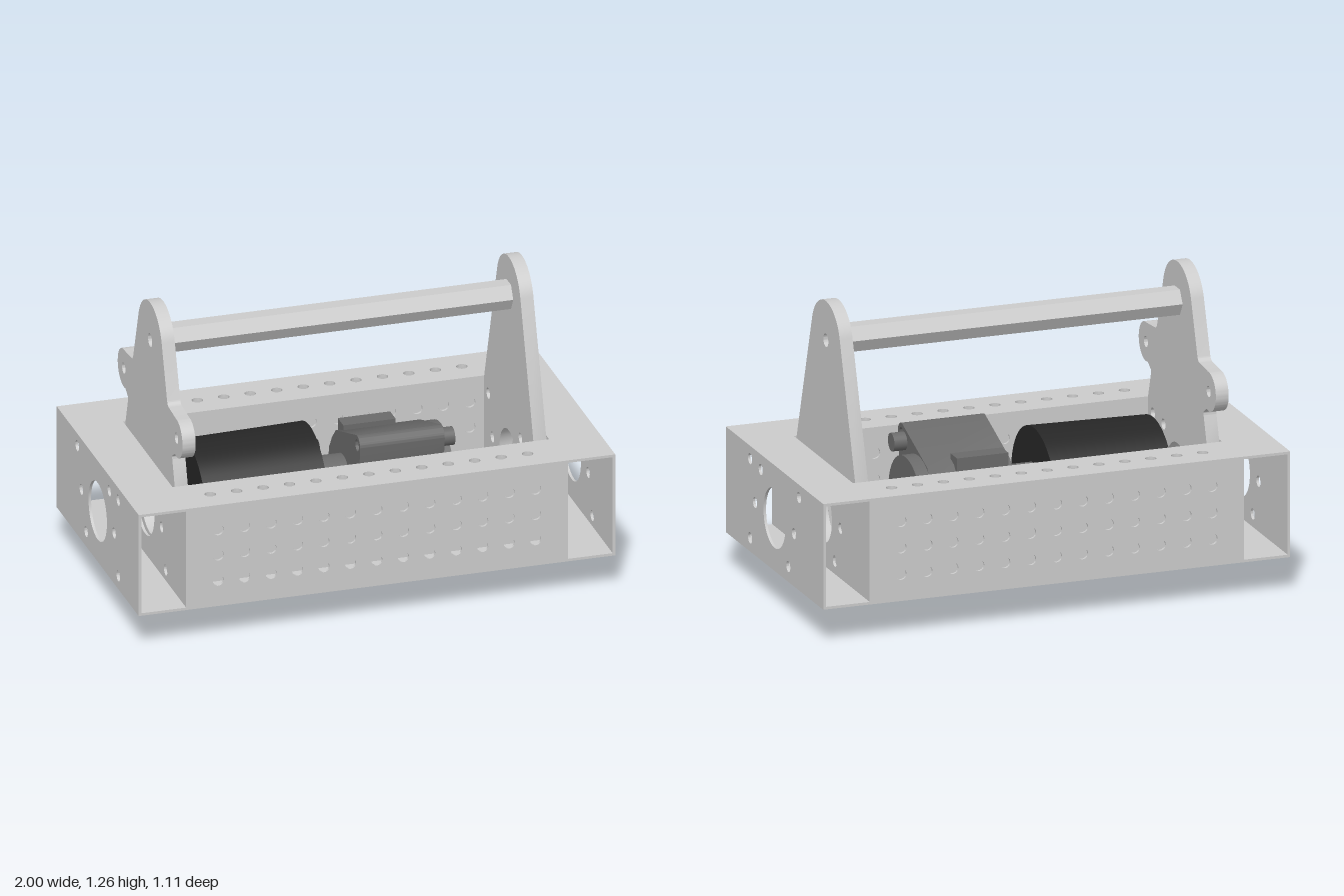
import * as THREE from 'three';
import { toCreasedNormals } from 'three/addons/utils/BufferGeometryUtils.js';

const mat = (color) => new THREE.MeshStandardMaterial({ color });
const GREY = mat(0xcccccc), DARK = mat(0x6a6a6a), BLACK = mat(0x262626), RED = mat(0xcc1111);
const WALL = 0.011, Y0 = 0.15, Y1 = 0.594, YC = 0.372, HOLE = 0.023;

function add(parent, name, geometry, material, x = 0, y = 0, z = 0) {
  const mesh = new THREE.Mesh(geometry, material);
  mesh.name = name;
  mesh.position.set(x, y, z);
  parent.add(mesh);
  return mesh;
}

// Extrude a shape along +z after cutting round holes given as [x, y, radius]
function sheet(shape, depth, holes = []) {
  for (const [x, y, r] of holes) {
    shape.holes.push(new THREE.Path().absarc(x, y, r, 0, Math.PI * 2, true));
  }
  const g = new THREE.ExtrudeGeometry(shape, { depth, bevelEnabled: false, curveSegments: 20 });
  return toCreasedNormals(g, 0.6);
}

function rect(x0, y0, x1, y1) {
  return new THREE.Shape([[x0, y0], [x1, y0], [x1, y1], [x0, y1]].map((p) => new THREE.Vector2(...p)));
}

// Cylinder along z, from z0 to z1
function rod(r0, r1, z0, z1, sides = 48) {
  return new THREE.CylinderGeometry(r1, r0, z1 - z0, sides).rotateX(Math.PI / 2).translate(0, 0, (z0 + z1) / 2);
}

const endHoles = [
  [0, YC, 0.125], [-0.278, 0.54, HOLE], [0.278, 0.54, HOLE], [-0.278, 0.207, HOLE],
  [-0.222, YC, HOLE], [0.222, YC, HOLE], [-0.157, 0.53, HOLE], [0.157, 0.215, HOLE],
];

// Upright side plate; the eared one has a lug on both edges
function uprightShape(ears) {
  const s = new THREE.Shape();
  s.moveTo(-0.333, Y0 + WALL);
  s.lineTo(0.333, Y0 + WALL);
  s.lineTo(0.333, 0.594);
  if (ears) {
    s.lineTo(0.3, 0.7);
    s.quadraticCurveTo(0.294, 0.717, 0.312, 0.724);
    s.lineTo(0.335, 0.739);
    s.absarc(0.357, 0.818, 0.082, -1.84, 1.65, false);
    s.lineTo(0.252, 0.908);
    s.quadraticCurveTo(0.236, 0.909, 0.229, 0.928);
  }
  s.absarc(0, 1.095, 0.165, 0.3, Math.PI - 0.3, false);
  if (ears) {
    s.lineTo(-0.229, 0.928);
    s.quadraticCurveTo(-0.236, 0.909, -0.252, 0.908);
    s.absarc(-0.357, 0.818, 0.082, Math.PI - 1.65, Math.PI + 1.84, false);
    s.lineTo(-0.312, 0.724);
    s.quadraticCurveTo(-0.294, 0.717, -0.3, 0.7);
  }
  s.lineTo(-0.333, 0.594);
  return s;
}

// Rectangular tubes: two open ones across the ends, two drilled ones along the sides
function buildFrame(root, across) {
  const rowX = Array.from({ length: 13 }, (_, i) => (i - 6) * 0.111);
  const sideHoles = rowX.flatMap((x) => [0.262, 0.373, 0.484].map((y) => [x, y, HOLE]));
  const topHoles = rowX.map((x) => [x, 0, HOLE]);

  for (const side of [-1, 1]) {
    for (const d of [1 - WALL / 2, 0.79 + WALL / 2]) {
      add(across, 'endTubeWall', sheet(rect(-0.555, Y0, 0.555, Y1), WALL, endHoles), GREY, 0, 0, side * d - WALL / 2);
    }
    for (const y of [Y0 + WALL / 2, Y1 - WALL / 2]) {
      add(root, 'endTubeFlange', new THREE.BoxGeometry(0.21 - WALL * 2, WALL, 1.11), GREY, side * 0.895, y, 0);
    }
    for (const d of [0.555 - WALL / 2, 0.335 + WALL / 2]) {
      add(root, 'sideTubeWall', sheet(rect(-0.79, Y0, 0.79, Y1), WALL, sideHoles), GREY, 0, 0, side * d - WALL / 2);
    }
    for (const y of [Y0, Y1 - WALL]) {
      const g = sheet(rect(-0.79, -0.11 + WALL, 0.79, 0.11 - WALL), WALL, topHoles).rotateX(-Math.PI / 2);
      add(root, 'sideTubeFlange', g, GREY, 0, y, side * 0.445);
    }
  }
}

// Uprights joined by a hollow hexagonal bar
function buildHandle(across) {
  const bore = [0, 1.095, 0.028];
  const earHoles = [[-0.357, 0.818, HOLE], [0.357, 0.818, HOLE]];
  add(across, 'plainUpright', sheet(uprightShape(false), 0.055, [bore, ...endHoles]), GREY, 0, 0, 0.725);
  add(across, 'earedUpright', sheet(uprightShape(true), 0.055, [bore, ...earHoles, ...endHoles]), GREY, 0, 0, -0.78);
  const hex = new THREE.Shape(Array.from({ length: 6 }, (_, i) =>
    new THREE.Vector2(0.061 * Math.cos(i * Math.PI / 3), 1.097 + 0.061 * Math.sin(i * Math.PI / 3))));
  add(across, 'crossBar', sheet(hex, 1.45, [bore]), GREY, 0, 0, -0.725);
}

// Motor and gearbox on a common axis
function buildDrive(across) {
  const drive = new THREE.Group();
  drive.name = 'drive';
  drive.position.y = YC;
  across.add(drive);

  add(drive, 'motorCan', rod(0.247, 0.257, -0.62, -0.11, 64), BLACK);
  add(drive, 'motorNeck', rod(0.11, 0.11, -0.11, 0.04), DARK);
  add(drive, 'neckPin', rod(0.035, 0.035, -0.09, -0.04, 20), BLACK, 0.12, 0.1, 0);
  add(drive, 'gearCase', rod(0.195, 0.195, 0.03, 0.385), DARK);

  // Gearbox flange tapering to two drilled lugs
  const lug = 0.3, r = 0.042;
  const s = new THREE.Shape();
  s.moveTo(0.19, -0.07);
  s.lineTo(0.19, 0.07);
  s.absarc(0, lug, r, 0.5, Math.PI - 0.5, false);
  s.lineTo(-0.19, 0.07);
  s.lineTo(-0.19, -0.07);
  s.absarc(0, -lug, r, Math.PI + 0.5, Math.PI * 2 - 0.5, false);
  const lugs = add(drive, 'lugBody', sheet(s, 0.355, [[0, lug, 0.024], [0, -lug, 0.024]]), DARK, 0, 0, 0.03);
  lugs.rotation.z = Math.atan2(0.19, 0.235);

  // Raised latches on the case
  for (const [x, y] of [[0.1, 0.175], [-0.09, 0.175], [0.1, -0.165], [-0.1, -0.165]]) {
    add(drive, 'caseLatch', new THREE.BoxGeometry(0.075, 0.07, 0.22), DARK, x, y, 0.16);
  }

  // Output end: stepped ring, bearing and hexagonal socket
  const disc = (rad) => new THREE.Shape().absarc(0, 0, rad, 0, Math.PI * 2, false);
  add(drive, 'outputRing', sheet(disc(0.195), 0.055, [[0, 0, 0.1]]), DARK, 0, 0, 0.385);
  for (const side of [-1, 1]) {
    const foot = add(drive, 'ringLug', rod(r, r, 0.385, 0.44, 24), DARK, side * 0.16, side * -0.21, 0);
    foot.scale.set(0.9, 0.9, 1);
  }
  add(drive, 'bearing', sheet(disc(0.09), 0.045, [[0, 0, 0.07]]), DARK, 0, 0, 0.385);
  const shaft = new THREE.Shape(Array.from({ length: 6 }, (_, i) =>
    new THREE.Vector2(0.066 * Math.cos(i * Math.PI / 3), 0.066 * Math.sin(i * Math.PI / 3))));
  add(drive, 'hexShaft', sheet(shaft, 0.055, [[0, 0, 0.024]]), DARK, 0, 0, 0.385);

  // Wiring connector hanging below the motor
  const plug = new THREE.Group();
  plug.name = 'connector';
  plug.position.set(0.065, 0.1, -0.16);
  plug.rotation.z = 0.23;
  across.add(plug);
  add(plug, 'housing', new THREE.BoxGeometry(0.165, 0.09, 0.055), BLACK, 0, 0.015, 0);
  const blades = [[-0.06, 0.03, GREY], [-0.025, 0.04, BLACK], [0.017, 0.044, RED], [0.057, 0.036, BLACK]];
  for (const [x, w, m] of blades) {
    add(plug, 'terminal', new THREE.BoxGeometry(w, 0.06, 0.042), m, x, -0.055, 0);
  }
}

export function createModel() {
  const root = new THREE.Group();
  root.name = 'motorCarrier';
  // Parts profiled across the length: local z runs along world x
  const across = new THREE.Group();
  across.name = 'lengthwiseParts';
  across.rotation.y = Math.PI / 2;
  root.add(across);
  buildFrame(root, across);
  buildHandle(across);
  buildDrive(across);
  return root;
}
